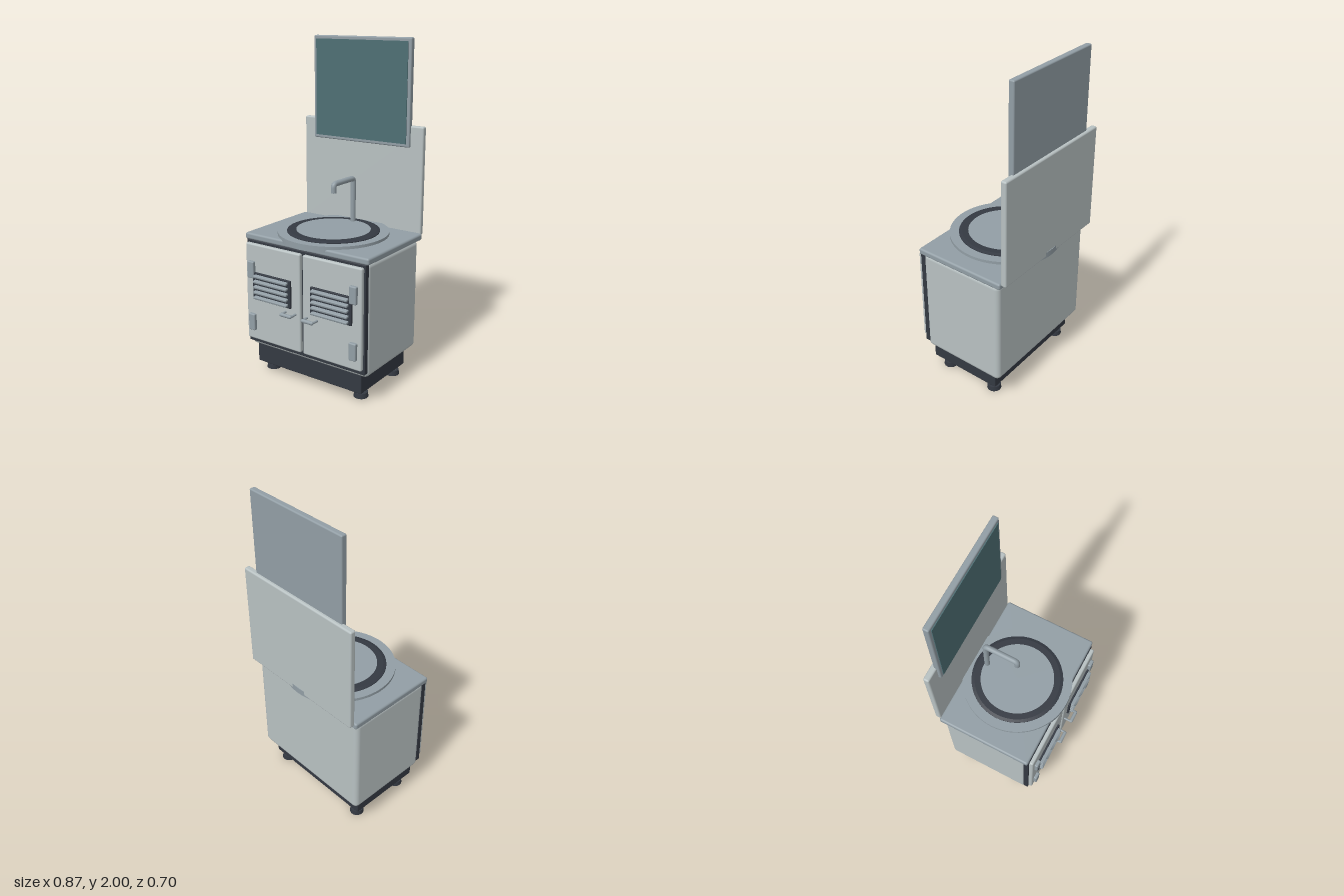
import * as THREE from 'three';
import { RoundedBoxGeometry } from 'three/addons/geometries/RoundedBoxGeometry.js';

const mat = (name, color) => {
  const m = new THREE.MeshStandardMaterial({ color });
  m.name = name;
  return m;
};

export function createModel() {
  const panel = mat('pale panel', 0xb8c1c2);
  const steel = mat('brushed steel', 0x929ea5);
  const dark = mat('dark trim', 0x343942);
  const glass = mat('mirror glass', 0x4e6f74);
  const root = new THREE.Group();
  root.name = 'washstand';

  const add = (name, geo, material, x = 0, y = 0, z = 0, parent = root) => {
    const mesh = new THREE.Mesh(geo, material);
    mesh.name = name;
    mesh.position.set(x, y, z);
    parent.add(mesh);
    return mesh;
  };
  // Rounded box given by its limits
  const box = (name, material, [x0, x1], [y0, y1], [z0, z1], r = 0.006, parent = root) =>
    add(name, new RoundedBoxGeometry(x1 - x0, y1 - y0, z1 - z0, 3, r), material,
      (x0 + x1) / 2, (y0 + y1) / 2, (z0 + z1) / 2, parent);

  // Base: feet and plinth
  for (const x of [-0.323, 0.323]) {
    for (const z of [0.155, -0.19]) {
      add('footPad', new THREE.CylinderGeometry(0.04, 0.043, 0.03, 24), dark, x, 0.015, z);
      add('footStem', new THREE.CylinderGeometry(0.022, 0.022, 0.05, 16), steel, x, 0.05, z);
    }
  }
  box('plinth', dark, [-0.376, 0.376], [0.06, 0.19], [-0.238, 0.238], 0.005);

  // Cabinet, dark door surround and worktop
  box('cabinet', panel, [-0.42, 0.42], [0.17, 0.845], [-0.297, 0.25], 0.03);
  box('doorSurround', dark, [-0.418, 0.418], [0.2, 0.843], [0.235, 0.268], 0.005);
  box('worktop', steel, [-0.433, 0.433], [0.84, 0.88], [-0.317, 0.266], 0.012);

  // Doors with hinges, louvred vents and handles
  for (const s of [-1, 1]) {
    const door = new THREE.Group();
    door.name = s < 0 ? 'rightDoor' : 'leftDoor';
    root.add(door);
    const span = (a, b) => (s > 0 ? [a, b] : [-b, -a]);
    box('doorPanel', panel, span(0.009, 0.409), [0.228, 0.828], [0.262, 0.292], 0.01, door);
    for (const y of [0.672, 0.342]) {
      box('hinge', steel, span(0.338, 0.384), [y - 0.052, y + 0.052], [0.285, 0.312], 0.007, door);
    }
    box('ventBack', dark, span(0.07, 0.35), [0.49, 0.658], [0.285, 0.304], 0.004, door);
    for (let i = 0; i < 5; i++) {
      const slat = box('ventSlat', steel, span(0.086, 0.333), [-0.007, 0.007], [0.299, 0.325], 0.004, door);
      slat.position.y = 0.508 + i * 0.033;
      slat.rotation.x = 0.2;
    }
    const bar = add('handleBar', new THREE.CapsuleGeometry(0.011, 0.064, 6, 16), steel, s * 0.077, 0.46, 0.339, door);
    bar.rotation.z = Math.PI / 2;
    for (const x of [0.041, 0.113]) {
      const post = add('handlePost', new THREE.CylinderGeometry(0.007, 0.007, 0.05, 12), steel, s * x, 0.46, 0.314, door);
      post.rotation.x = Math.PI / 2;
    }
  }

  // Round basin: broad rim, dark ring and flush centre
  const bz = -0.026;
  add('basinRim', new THREE.CylinderGeometry(0.328, 0.328, 0.036, 72), steel, 0, 0.879, bz);
  const ring = [[0.217, 0.895], [0.273, 0.895], [0.273, 0.901], [0.255, 0.906], [0.219, 0.906], [0.217, 0.895]];
  const ringGeo = new THREE.LatheGeometry(ring.map(p => new THREE.Vector2(...p)), 72).toNonIndexed();
  ringGeo.computeVertexNormals();
  add('basinRing', ringGeo, dark, 0, 0, bz);
  add('basinCentre', new THREE.CylinderGeometry(0.219, 0.219, 0.012, 72), steel, 0, 0.9005, bz);

  // Tap: upright, level spout and short drop, with tight bends
  const v = (y, z) => new THREE.Vector3(0, y, z);
  const path = new THREE.CurvePath();
  path.add(new THREE.LineCurve3(v(0.89, -0.23), v(1.15, -0.23)));
  path.add(new THREE.QuadraticBezierCurve3(v(1.15, -0.23), v(1.172, -0.23), v(1.172, -0.208)));
  path.add(new THREE.LineCurve3(v(1.172, -0.208), v(1.172, -0.048)));
  path.add(new THREE.QuadraticBezierCurve3(v(1.172, -0.048), v(1.172, -0.026), v(1.15, -0.026)));
  path.add(new THREE.LineCurve3(v(1.15, -0.026), v(1.12, -0.026)));
  add('tap', new THREE.TubeGeometry(path, 80, 0.0165, 16), steel);
  const outlet = add('tapOutlet', new THREE.CircleGeometry(0.0165, 16), steel, 0, 1.12, -0.026);
  outlet.rotation.x = Math.PI / 2;

  // Backsplash and mirror
  box('backsplash', panel, [-0.42, 0.42], [0.865, 1.505], [-0.35, -0.314], 0.01);
  box('mirrorFrame', steel, [-0.338, 0.338], [1.38, 2], [-0.333, -0.298], 0.008);
  add('mirrorGlass', new THREE.BoxGeometry(0.636, 0.58, 0.006), glass, 0, 1.69, -0.296);

  return root;
}
